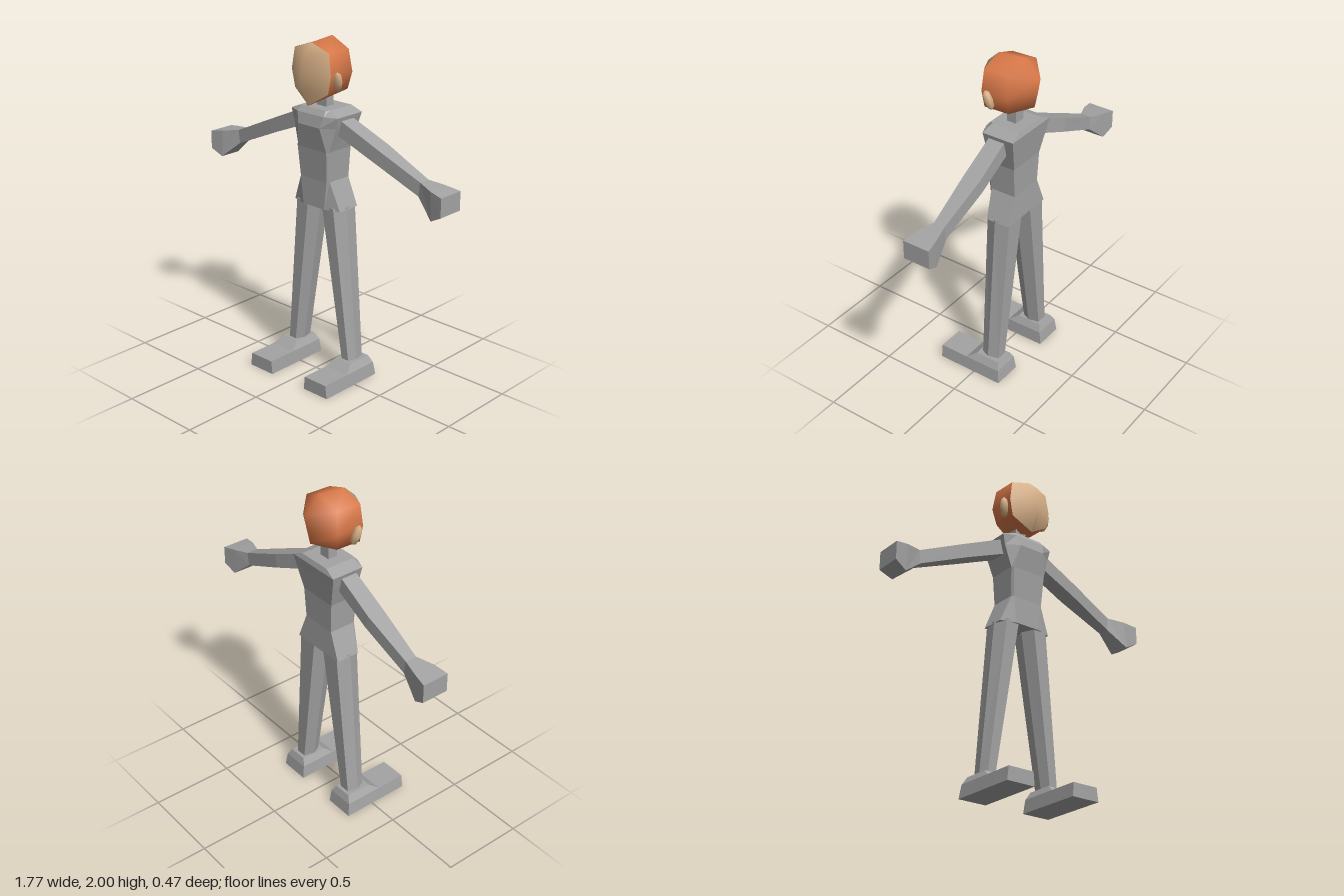
import * as THREE from 'three';
import { mergeVertices } from 'three/addons/utils/BufferGeometryUtils.js';

// Surface through rows of [x, y, z] points
function grid(rows) {
  const n = rows[0].length, index = [];
  for (let r = 0; r < rows.length - 1; r++) {
    for (let i = 0; i < n - 1; i++) {
      const a = r * n + i, b = a + 1, c = b + n, d = a + n;
      index.push(a, b, c, a, c, d);
    }
  }
  const g = new THREE.BufferGeometry();
  g.setAttribute('position', new THREE.Float32BufferAttribute(rows.flat(2), 3));
  g.setIndex(index);
  return g;
}

// Closed, capped, flat-shaded solid through rings of points; faces always point outward
function loft(rings) {
  const n = rings[0].length, g = grid(rings.map(r => [...r, r[0]]));
  const index = [...g.index.array], last = (rings.length - 1) * (n + 1);
  for (let i = 1; i < n - 1; i++) {
    index.push(0, i + 1, i, last, last + i, last + i + 1);
  }
  const p = rings.flatMap(r => [...r, r[0]]).map(v => new THREE.Vector3(...v));
  let volume = 0;
  for (let i = 0; i < index.length; i += 3) {
    volume += p[index[i]].dot(p[index[i + 1]].clone().cross(p[index[i + 2]]));
  }
  g.setIndex(volume < 0 ? index.reverse() : index);
  const flat = g.toNonIndexed();
  flat.computeVertexNormals();
  return flat;
}

function smooth(rows) {
  const g = mergeVertices(grid(rows), 1e-4);
  g.computeVertexNormals();
  return g;
}

export function createModel() {
  const model = new THREE.Group();
  model.name = 'figure';
  const mat = (name, color) => {
    const m = new THREE.MeshStandardMaterial({ color });
    m.name = name;
    return m;
  };
  const grey = mat('grey body', 0xa3a3a3);
  const skin = mat('skin', 0xdab288);
  const hairColor = mat('orange hair', 0xd87848);
  const add = (name, geometry, material) => {
    const m = new THREE.Mesh(geometry, material);
    m.name = name;
    model.add(m);
    return m;
  };

  // Torso: y, back half-width and z, side half-width and z, front half-width and z
  add('torso', loft([
    [1.035, 0.175, -0.155, 0.175, -0.01, 0.08, 0.02],
    [1.2, 0.11, -0.15, 0.11, 0.005, 0.1, 0.02],
    [1.38, 0.12, -0.155, 0.12, 0.02, 0.11, 0.035],
    [1.52, 0.158, -0.175, 0.16, 0.01, 0.08, 0.06],
    [1.585, 0.175, -0.185, 0.175, 0.015, 0.1, 0.045],
    [1.615, 0.105, -0.175, 0.105, 0.0, 0.09, 0.02],
  ].map(([y, bw, bz, sw, sz, fw, fz]) => [
    [bw, y, bz], [-bw, y, bz], [-sw, y, sz], [-fw, y, fz], [fw, y, fz], [sw, y, sz],
  ])), grey);

  const neck = add('neck', new THREE.BoxGeometry(0.07, 0.12, 0.06), grey);
  neck.position.set(0, 1.65, -0.075);

  for (const [side, s] of [['left', 1], ['right', -1]]) {
    // Arm and hand: top x, y, bottom x, y, front z, back z
    const limb = stations => loft(stations.map(([tx, ty, bx, by, f, b]) => [
      [s * tx, ty, f], [s * bx, by, f], [s * bx, by, b], [s * tx, ty, b],
    ]));
    const wrist = [0.7, 1.325, 0.69, 1.245, -0.06, -0.13];
    add(side + 'Arm', limb([
      [0.14, 1.575, 0.12, 1.485, -0.02, -0.12],
      [0.41, 1.455, 0.39, 1.375, -0.035, -0.14],
      wrist,
    ]), grey);
    add(side + 'Hand', limb([
      wrist,
      [0.8, 1.31, 0.81, 1.145, -0.02, -0.155],
      [0.885, 1.295, 0.885, 1.185, -0.005, -0.17],
    ]), grey);

    // Leg: six-sided, tapering and splayed outward
    add(side + 'Leg', loft([
      [[0.26, -0.07], [0.24, -0.02], [0.19, -0.02], [0.165, -0.07], [0.18, -0.135], [0.245, -0.135]],
      [[0.175, -0.065], [0.14, 0.01], [0.055, 0.01], [0.02, -0.065], [0.04, -0.152], [0.16, -0.152]],
    ].map((ring, i) => ring.map(([x, z]) => [s * x, [0.11, 1.05][i], z]))), grey);

    // Shoe: long sole with a sloped ankle block
    const block = levels => loft(levels.map(([y, x0, x1, z0, z1]) => [
      [s * x0, y, z0], [s * x1, y, z0], [s * x1, y, z1], [s * x0, y, z1],
    ]));
    add(side + 'Sole', block([
      [0, 0.13, 0.31, -0.183, 0.24], [0.08, 0.137, 0.3, -0.172, 0.24],
    ]), grey);
    add(side + 'Ankle', block([
      [0.079, 0.137, 0.3, -0.172, 0.06], [0.122, 0.16, 0.275, -0.155, 0.0],
    ]), grey);

    // Ear
    const ear = add(side + 'Ear', new THREE.SphereGeometry(1, 6, 4), skin);
    ear.scale.set(0.032, 0.062, 0.024);
    ear.position.set(s * 0.152, 1.782, -0.01);
    ear.rotation.set(0.25, 0, -s * 0.22);
  }

  // Head profiles, chin to crown: face centre, hairline, side of skull, back of skull
  const front = [[0, 1.635, 0.07], [0, 1.735, 0.115], [0, 1.82, 0.113], [0, 1.92, 0.103], [0, 1.985, 0.035]];
  const line = [[0, 1.635, 0.06], [0.125, 1.715, 0.037], [0.147, 1.82, 0.04], [0.128, 1.942, 0.035], [0, 1.985, 0.035]];
  const skull = [[0, 1.68, -0.075], [0.125, 1.72, -0.12], [0.15, 1.82, -0.13], [0.13, 1.945, -0.12], [0, 2, -0.13]];
  const back = [[0, 1.68, -0.075], [0, 1.73, -0.2], [0, 1.82, -0.22], [0, 1.91, -0.235], [0, 2, -0.13]];
  const flip = ([x, y, z]) => [-x, y, z];
  add('face', smooth(front.map((f, i) => [flip(line[i]), f, line[i]])), skin);
  add('hair', smooth(back.map((b, i) => [line[i], skull[i], b, flip(skull[i]), flip(line[i])])), hairColor);

  return model;
}
